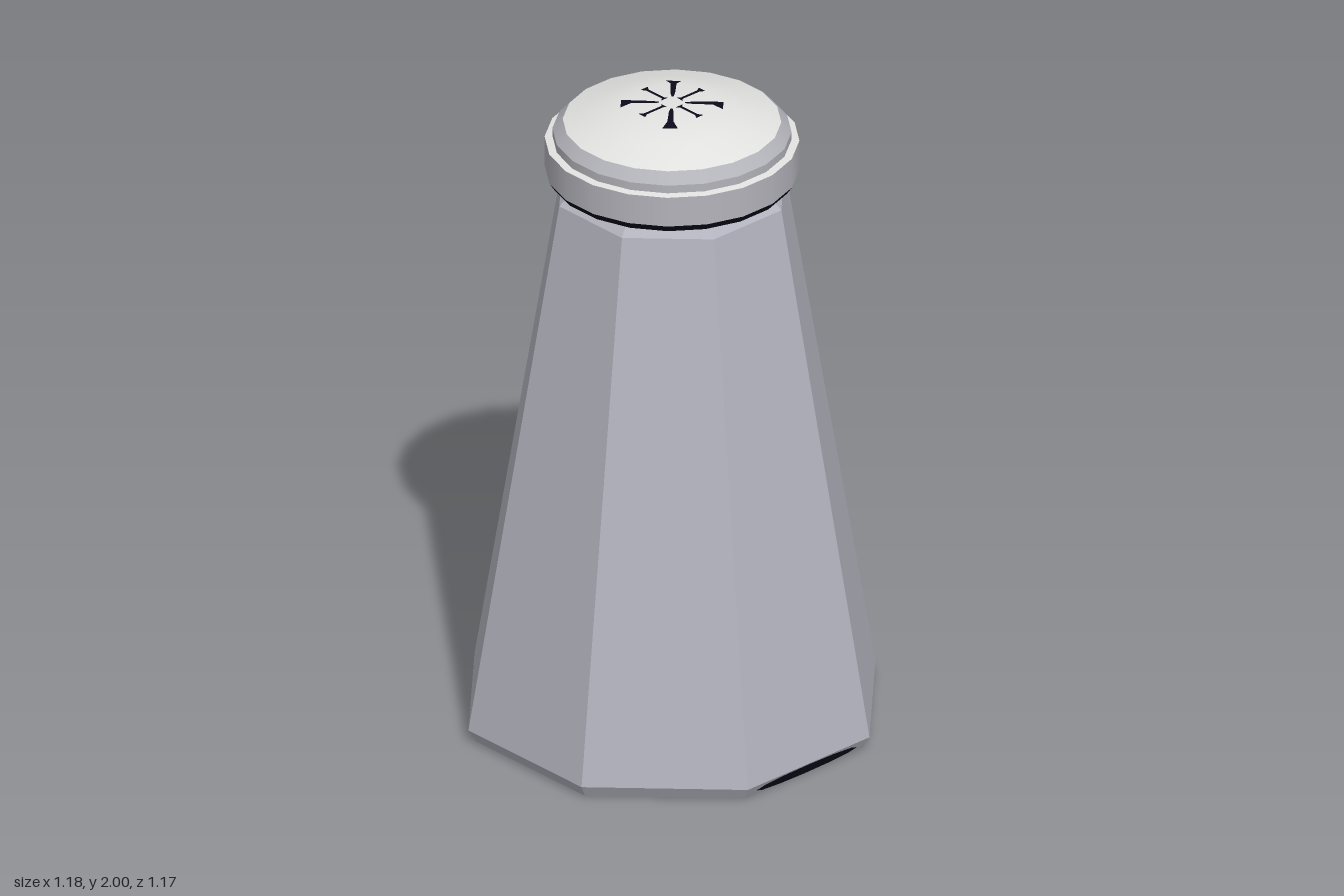
import * as THREE from 'three';

const material = (name, color, flat = false) => {
  const m = new THREE.MeshStandardMaterial({ color, flatShading: flat });
  m.name = name;
  return m;
};

// Height of the dome's profile at a given radius
const DOME = [[0.32, 1.94], [0.22, 1.973], [0.12, 1.998], [0, 1.998]];
function domeHeight(r) {
  for (let i = 0; i < DOME.length - 1; i++) {
    const [r0, y0] = DOME[i], [r1, y1] = DOME[i + 1];
    if (r >= r1) return y0 + (y1 - y0) * (r0 - r) / (r0 - r1);
  }
  return DOME[DOME.length - 1][1];
}

// Strip lying on the dome, from [radius, half width] cross-sections
function slotGeometry(sections) {
  const pos = [], index = [];
  sections.forEach(([r, w], i) => {
    const y = domeHeight(r) + 0.0015;
    pos.push(-w, y, r, w, y, r);
    if (i > 0) {
      const a = 2 * i - 2;
      index.push(a, a + 2, a + 1, a + 1, a + 2, a + 3);
    }
  });
  const g = new THREE.BufferGeometry();
  g.setAttribute('position', new THREE.Float32BufferAttribute(pos, 3));
  g.setIndex(index);
  g.computeVertexNormals();
  return g;
}

export function createModel() {
  const model = new THREE.Group();
  model.name = 'shaker';

  const bodyGrey = material('bodyGrey', 0xb3b4bf, true);
  const ringGrey = material('ringGrey', 0xb3b3ba);
  const capLight = material('capLight', 0xe2e2e1);
  const dark = material('darkNavy', 0x0a0a1a);
  const darkFlat = material('darkNavyFaceted', 0x0a0a1a, true);

  const add = (parent, name, geometry, mat) => {
    const mesh = new THREE.Mesh(geometry, mat);
    mesh.name = name;
    parent.add(mesh);
    return mesh;
  };
  // Turned part with one flat side facing the front
  const turned = (profile, sides) => new THREE.LatheGeometry(
    profile.map(([r, y]) => new THREE.Vector2(r, y)), sides, Math.PI / sides);
  // Octagon profiles are given by distance to the flat sides
  const octagon = (profile) => turned(profile.map(([a, y]) => [a / Math.cos(Math.PI / 8), y]), 8);

  // Eight-sided body with bevelled foot and shoulder
  add(model, 'body', octagon([
    [0.565, 0], [0.587, 0.04], [0.325, 1.72], [0.292, 1.755], [0.285, 1.8],
  ]), bodyGrey);

  // Dark underside with a shallow recess inside the foot rim
  add(model, 'underside', octagon([[0, 0.04], [0.485, 0.04], [0.525, 0], [0.565, 0]]), darkFlat);

  // Dark mark on one foot bevel
  const mark = new THREE.CircleGeometry(1, 12);
  mark.scale(0.2, 0.022, 1);
  mark.rotateY(Math.PI / 2);
  mark.rotateZ(-Math.atan2(0.022, 0.04));
  mark.translate(0.579, 0.02, 0);
  add(model, 'footMark', mark, dark);

  // Cap: one turned band per profile step keeps the edges crisp
  const cap = new THREE.Group();
  cap.name = 'cap';
  model.add(cap);
  const bands = [
    ['capUnderside', [[0.28, 1.762], [0.358, 1.762]], ringGrey],
    ['capLowerEdge', [[0.358, 1.762], [0.373, 1.785]], dark],
    ['capRing', [[0.373, 1.785], [0.373, 1.88]], ringGrey],
    ['capRingTop', [[0.373, 1.88], [0.35, 1.883]], capLight],
    ['capStep', [[0.35, 1.883], [0.35, 1.908]], ringGrey],
    ['capBevel', [[0.35, 1.908], [0.32, 1.94]], ringGrey],
    ['dome', DOME, capLight],
  ];
  for (const [name, profile, mat] of bands) add(cap, name, turned(profile, 20), mat);

  // Star of eight flared slots on the dome
  const straight = slotGeometry([[0.03, 0.014], [0.038, 0.005], [0.105, 0.005], [0.12, 0.014]]);
  const diagonal = slotGeometry([[0.038, 0.003], [0.06, 0.007], [0.12, 0.009], [0.15, 0.023]]);
  for (let i = 0; i < 8; i++) {
    add(cap, 'slot', i % 2 ? diagonal : straight, dark).rotation.y = i * Math.PI / 4;
  }
  return model;
}
